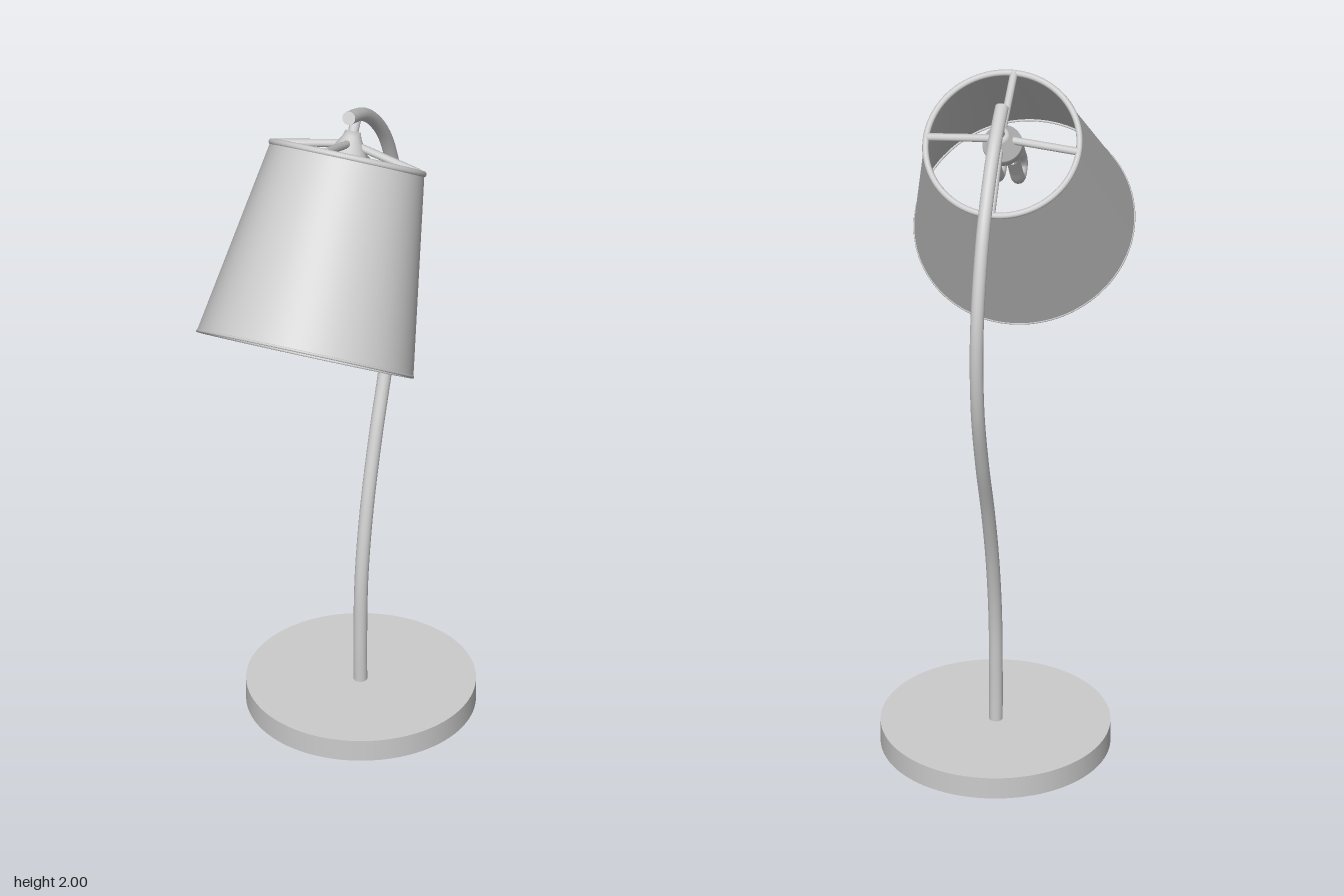
import * as THREE from 'three';

const material = new THREE.MeshStandardMaterial({ color: 0xcccccc });
const thin = new THREE.MeshStandardMaterial({ color: 0xcccccc, side: THREE.DoubleSide });

function add(parent, name, geometry, mat = material) {
  const mesh = new THREE.Mesh(geometry, mat);
  mesh.name = name;
  parent.add(mesh);
  return mesh;
}

// Straight round rod between two points
function rod(parent, name, a, b, radius) {
  return add(parent, name, new THREE.TubeGeometry(new THREE.LineCurve3(a, b), 1, radius, 12));
}

export function createModel() {
  const lamp = new THREE.Group();
  lamp.name = 'deskLamp';

  // Round base
  add(lamp, 'base', new THREE.CylinderGeometry(0.317, 0.317, 0.065, 96)).position.set(0, 0.0325, -0.183);

  // Curved stand, as [y, z] points from the base to the tip
  const path = [
    [0.05, -0.178], [0.2, -0.177], [0.4, -0.187], [0.6, -0.228], [0.8, -0.297], [1.0, -0.383],
    [1.2, -0.449], [1.37, -0.469], [1.5, -0.46], [1.63, -0.423], [1.75, -0.365], [1.85, -0.285],
    [1.92, -0.205], [1.957, -0.14], [1.98, -0.088],
  ].map(([y, z]) => new THREE.Vector3(0, y, z));
  const curve = new THREE.CatmullRomCurve3(path);
  add(lamp, 'stand', new THREE.TubeGeometry(curve, 96, 0.019, 20));
  const cap = add(lamp, 'standTip', new THREE.CircleGeometry(0.019, 20));
  cap.position.copy(path[path.length - 1]);
  cap.quaternion.setFromUnitVectors(new THREE.Vector3(0, 0, 1), curve.getTangent(1));

  // Tilted head; its origin is the centre of the shade's top rim
  const head = new THREE.Group();
  head.name = 'head';
  head.position.set(0, 1.855, -0.078);
  head.rotation.x = -0.635;
  lamp.add(head);

  // Open shade with rims
  const shade = add(head, 'shade', new THREE.CylinderGeometry(0.217, 0.306, 0.556, 96, 1, true), thin);
  shade.position.y = -0.278;
  const topRim = add(head, 'topRim', new THREE.TorusGeometry(0.214, 0.009, 12, 96));
  const bottomRim = add(head, 'bottomRim', new THREE.TorusGeometry(0.304, 0.004, 8, 96));
  topRim.rotation.x = bottomRim.rotation.x = Math.PI / 2;
  bottomRim.position.y = -0.553;

  // Four spokes from the socket to the top rim
  for (let i = 0; i < 4; i++) {
    const a = (i * Math.PI) / 2;
    rod(head, 'spoke', new THREE.Vector3(0, 0.042, 0),
      new THREE.Vector3(Math.sin(a) * 0.213, 0, Math.cos(a) * 0.213), 0.011);
  }

  // Neck joining the stand to the socket
  rod(head, 'neck', new THREE.Vector3(0, 0.05, 0), new THREE.Vector3(0, 0.122, 0), 0.015);

  // Socket: flared cap over a short cylinder
  const cone = [[0, 0.075], [0.022, 0.075], [0.026, 0.06], [0.055, 0.008], [0.056, 0], [0.05, 0]];
  const body = [[0.05, 0], [0.05, -0.035], [0, -0.035]];
  for (const [name, profile] of [['socketCap', cone], ['socketBody', body]]) {
    const points = profile.map(([r, y]) => new THREE.Vector2(r, y)).reverse();
    add(head, name, new THREE.LatheGeometry(points, 40));
  }

  // Two U-shaped bulb tubes
  for (const x of [-0.029, 0.029]) {
    const u = [[-0.03, 0.027], [-0.1, 0.027], [-0.16, 0.027], [-0.18, 0.018], [-0.186, 0]];
    const back = u.slice(0, -1).reverse().map(([y, z]) => [y, -z]);
    const points = [...u, ...back].map(([y, z]) => new THREE.Vector3(x, y, z));
    add(head, 'bulbTube', new THREE.TubeGeometry(new THREE.CatmullRomCurve3(points), 40, 0.019, 14));
  }

  return lamp;
}
